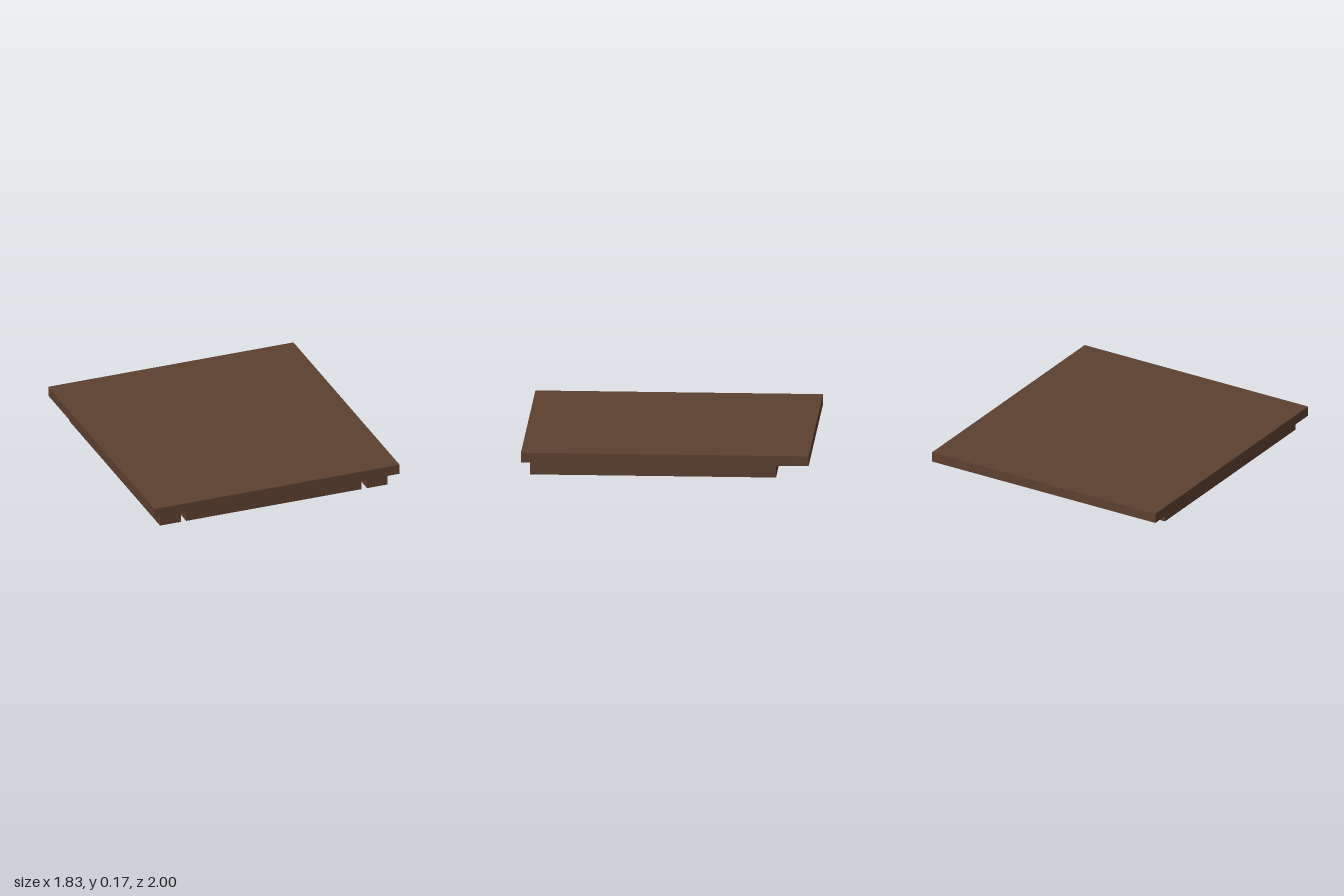
import * as THREE from 'three';

const wood = new THREE.MeshStandardMaterial({ color: 0x5c4030, flatShading: true });
const glass = new THREE.MeshStandardMaterial({ color: 0xd3cda8, flatShading: true });

const CZ = 0.085;            // centre of the lower layer in z
const LENGTH = 1.71;         // its length in z
const HX = 0.45, HZ = 0.64;  // half size of the recess opening
const INSET = 0.17;          // horizontal run of the sloping sides

function box(name, w, h, d, x, y, z) {
  const m = new THREE.Mesh(new THREE.BoxGeometry(w, h, d), wood);
  m.name = name;
  m.position.set(x, y, z);
  return m;
}

// Corners of a rectangle at height y
const rect = (hx, hz, y) => [[-1, -1], [1, -1], [1, 1], [-1, 1]]
  .map(([sx, sz]) => new THREE.Vector3(sx * hx, y, CZ + sz * hz));

// Move the edges of a quad inward by d, then lift it along its normal n
function insetQuad(q, d, n, lift) {
  return q.map((p, i) => {
    const a = q[(i + 1) % 4].clone().sub(p).normalize();
    const b = q[(i + 3) % 4].clone().sub(p).normalize();
    const s = a.clone().cross(b).length();
    return p.clone().addScaledVector(a.add(b), d / s).addScaledVector(n, lift);
  });
}

// Surface through successive quad loops, closed by a cap on the last loop
function loopMesh(name, loops, material) {
  const pos = [];
  const quad = (a, b, c, d) => [a, b, c, a, c, d].forEach(p => pos.push(p.x, p.y, p.z));
  for (let k = 0; k < loops.length - 1; k++) {
    for (let i = 0; i < 4; i++) {
      const j = (i + 1) % 4;
      quad(loops[k][i], loops[k][j], loops[k + 1][j], loops[k + 1][i]);
    }
  }
  quad(...loops[loops.length - 1]);
  const g = new THREE.BufferGeometry();
  g.setAttribute('position', new THREE.Float32BufferAttribute(pos, 3));
  g.computeVertexNormals();
  const m = new THREE.Mesh(g, material);
  m.name = name;
  return m;
}

// Wooden backing quad with a stepped glass pane on its downward face
function panel(name, corners) {
  const normalOf = q => q[1].clone().sub(q[0]).cross(q[3].clone().sub(q[0])).normalize();
  const q = normalOf(corners).y < 0 ? corners : corners.slice().reverse();
  const n = normalOf(q);
  const group = new THREE.Group();
  group.name = name;
  const steps = [[0.028, 0], [0.028, 0.004], [0.06, 0.004], [0.06, 0.007]];
  group.add(
    loopMesh(name + 'Backing', [q], wood),
    loopMesh(name + 'Glass', steps.map(([d, l]) => insetQuad(q, d, n, l)), glass));
  return group;
}

export function createModel() {
  const model = new THREE.Group();
  model.name = 'ceilingPanel';

  // Top slab and the two side rails beneath it
  model.add(box('topSlab', 1.83, 0.07, 2, 0, 0.135, 0));
  for (const [side, s] of [['left', 1], ['right', -1]]) {
    model.add(box(side + 'Rail', 0.155, 0.1, LENGTH, s * 0.7725, 0.05, CZ));
  }

  // Centre panel with a rectangular opening
  const outline = (P, hx, hz) => new P(
    [[-hx, -hz], [hx, -hz], [hx, hz], [-hx, hz]].map(p => new THREE.Vector2(...p)));
  const shape = outline(THREE.Shape, 0.655, LENGTH / 2);
  shape.holes.push(outline(THREE.Path, HX, HZ));
  const g = new THREE.ExtrudeGeometry(shape, { depth: 0.1, bevelEnabled: false });
  g.rotateX(Math.PI / 2);
  const centre = new THREE.Mesh(g, wood);
  centre.name = 'centrePanel';
  centre.position.set(0, 0.1, CZ);
  model.add(centre);

  // Sloping sides and flat ceiling of the recess
  const low = rect(HX, HZ, 0.014);
  const high = rect(HX - INSET, HZ - INSET, 0.097);
  ['back', 'left', 'front', 'right'].forEach((name, i) => {
    const j = (i + 1) % 4;
    model.add(panel(name + 'Slope', [low[i], low[j], high[j], high[i]]));
  });
  model.add(panel('recessCeiling', high));

  return model;
}
